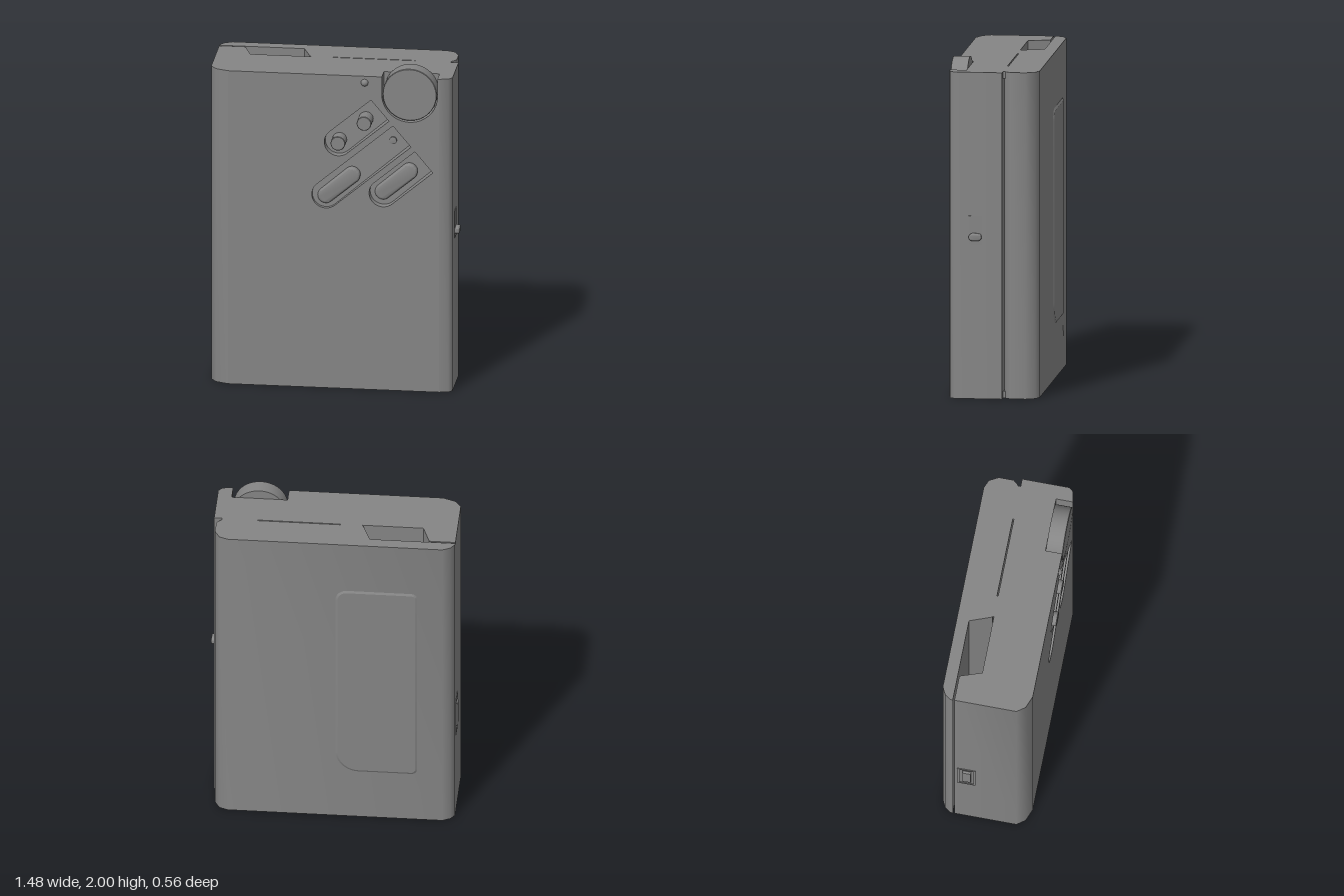
import * as THREE from 'three';
import { toCreasedNormals } from 'three/addons/utils/BufferGeometryUtils.js';

const H = 1.945, FRONT = 0.257, STEP = 0.157, TILT = 0.698;
const material = new THREE.MeshStandardMaterial({ color: 0x858585 });

export function createModel() {
  const group = new THREE.Group();

  const add = (name, geometry, x = 0, y = 0, z = 0) => {
    const mesh = new THREE.Mesh(geometry, material);
    mesh.name = name;
    mesh.position.set(x, y, z);
    group.add(mesh);
    return mesh;
  };
  const box = (name, w, h, d, x, y, z) => add(name, new THREE.BoxGeometry(w, h, d), x, y, z);
  const extrude = (shape, depth, options = {}, crease = 0.75) => toCreasedNormals(
    new THREE.ExtrudeGeometry(shape, { depth, bevelEnabled: false, curveSegments: 24, ...options }), crease);

  // Upright prism from an (x, z) outline
  const prism = (name, outline) => {
    const shape = new THREE.Shape(outline.map(([x, z]) => new THREE.Vector2(x, -z)));
    return add(name, extrude(shape, H).rotateX(-Math.PI / 2));
  };
  // Outline of a control pocket in tilted (u, v) coordinates: round at one end, square at the other
  const rotate = (u, v) => new THREE.Vector2(u, v).rotateAround(new THREE.Vector2(), TILT);
  const pocketPoints = (u, v, r = 0.083, end = 1.33) => {
    const points = [rotate(end, v - r), rotate(end, v + r)];
    for (let i = 0; i <= 20; i++) {
      const a = Math.PI / 2 + Math.PI * i / 20;
      points.push(rotate(u + r * Math.cos(a), v + r * Math.sin(a)));
    }
    return points;
  };
  // Pill lying along u
  const pill = (half, r) => {
    const s = new THREE.Shape();
    s.absarc(half, 0, r, -Math.PI / 2, Math.PI / 2);
    s.absarc(-half, 0, r, Math.PI / 2, Math.PI * 1.5);
    s.closePath();
    return s;
  };
  // Turned part facing +z, profile in (radius, height)
  const turned = (profile) => toCreasedNormals(new THREE.LatheGeometry(
    profile.map(([r, h]) => new THREE.Vector2(r, h)), 48).rotateX(Math.PI / 2), 0.6);

  // Main case, with a step in front that takes the face plate
  prism('case', [
    [-0.73, -0.192], [-0.73, 0.18], [-0.695, 0.228], [-0.62, FRONT], [-0.62, STEP],
    [0.63, STEP], [0.63, FRONT], [0.685, 0.247], [0.707, 0.22],
    [0.707, -0.063], [-0.53, -0.063], [-0.575, -0.192],
  ]);

  // Back door; the slanted steps leave an open channel through the body
  prism('backDoor', [
    [-0.73, -0.202], [-0.225, -0.202], [-0.175, -0.07], [0.64, -0.07], [0.665, -0.08], [0.69, -0.11],
    [0.69, -0.2], [0.66, -0.255], [0.61, -0.275], [-0.66, -0.275], [-0.705, -0.252], [-0.73, -0.215],
  ]);
  for (const y of [0.02, H - 0.02]) {
    box('hinge', 0.21, 0.04, 0.03, 0.555, y, -0.07);
    box('doorRest', 0.13, 0.04, 0.02, -0.105, y, -0.07);
  }

  // Face plate with a U-shaped notch for the wheel and three pockets
  const wheel = { x: 0.457, y: 1.84, r: 0.165 };
  const plate = new THREE.Shape();
  plate.moveTo(-0.62, 0).lineTo(0.63, 0).lineTo(0.63, H).lineTo(wheel.x + wheel.r, H);
  plate.absarc(wheel.x, wheel.y - 0.005, wheel.r, 0, Math.PI, true);
  plate.lineTo(wheel.x - wheel.r, H).lineTo(-0.62, H);
  const pockets = [[1.007, 1.148], [0.74, 0.945], [1.014, 0.743]];
  for (const [u, v] of pockets) plate.holes.push(new THREE.Path(pocketPoints(u, v)));
  add('facePlate', extrude(plate, FRONT - STEP), 0, 0, STEP);

  // Pocket floors, sinking towards the square end
  const floorZ = (u) => 0.225 - 0.09 * (u - 0.74);
  for (const [u, v] of pockets) {
    const floor = new THREE.ExtrudeGeometry(new THREE.Shape(pocketPoints(u, v)), { depth: 1, bevelEnabled: false });
    const p = floor.attributes.position;
    for (let i = 0; i < p.count; i++) {
      const along = p.getX(i) * Math.cos(TILT) + p.getY(i) * Math.sin(TILT);
      p.setZ(i, p.getZ(i) > 0.5 ? floorZ(along) : STEP - 0.01);
    }
    add('pocketFloor', toCreasedNormals(floor, 0.75));
  }

  // Winding wheel
  add('wheel', turned([[0, 0], [0.16, 0], [0.16, 0.097], [0.157, 0.1], [0, 0.1]]), wheel.x, wheel.y, STEP);

  // Two push buttons, a small pin and an indicator lamp
  for (const u of [1.007, 1.209]) {
    const p = rotate(u, 1.148);
    add('button', turned([[0, 0], [0.043, 0], [0.043, 0.1], [0.04, 0.103], [0, 0.103]]), p.x, p.y, 0.177);
  }
  const pin = rotate(1.25, 0.947);
  add('pin', turned([[0, 0], [0.022, 0], [0.022, 0.022], [0, 0.026]]), pin.x, pin.y, floorZ(1.25) - 0.012);
  add('lamp', new THREE.SphereGeometry(0.022, 24, 16), 0.19, 1.905, FRONT - 0.002);

  // Pill-shaped slider knobs in the two lower pockets
  for (const [u, v] of [[0.83, 0.938], [1.106, 0.743]]) {
    const p = rotate(u, v);
    const knob = extrude(pill(0.1, 0.035), 0.02,
      { bevelEnabled: true, bevelThickness: 0.016, bevelSize: 0.014, bevelSegments: 4 });
    add('sliderKnob', knob, p.x, p.y, floorZ(u) - 0.012).rotation.z = TILT;
  }

  // Window on the back door: thin panel with a sloped rim and one large lower corner
  const [left, right, bottom, top, slope] = [-0.515, -0.025, 0.32, 1.62, 0.016];
  const pane = new THREE.Shape();
  const corners = [
    [left, bottom, 0.04, 1, 1], [right, bottom, 0.14, -1, 1],
    [right, top, 0.07, -1, -1], [left, top, 0.04, 1, -1],
  ];
  corners.forEach(([x, y, r, sx, sy], i) => {
    const start = Math.PI * (1 + i / 2);
    pane.absarc(x + sx * r, y + sy * r, r - slope, start, start + Math.PI / 2);
  });
  pane.closePath();
  add('window', extrude(pane, 0.003,
    { bevelEnabled: true, bevelThickness: 0.009, bevelSize: slope, bevelSegments: 1 }, 0.3), 0, 0, -0.273);

  // Sliding switch on the left side
  box('switchPlate', 0.01, 0.17, 0.08, 0.706, 1.005, 0.095);
  const knob = extrude(pill(0.016, 0.014), 0.02,
    { bevelEnabled: true, bevelThickness: 0.01, bevelSize: 0.008, bevelSegments: 3 });
  add('switchKnob', knob.rotateY(Math.PI / 2), 0.706, 0.965, 0.095);

  // Door latch on the right side
  const frame = new THREE.Shape();
  frame.moveTo(-0.055, -0.12).lineTo(0.055, -0.12).lineTo(0.055, 0.12).lineTo(-0.055, 0.12);
  const opening = new THREE.Path();
  opening.moveTo(-0.042, -0.106).lineTo(-0.042, 0.106).lineTo(0.042, 0.106).lineTo(0.042, -0.106);
  frame.holes.push(opening);
  add('latchFrame', extrude(frame, 0.006).rotateY(-Math.PI / 2), -0.728, 0.67, -0.12);
  const tab = new THREE.Shape();
  tab.moveTo(0, -0.085).lineTo(0.011, -0.07).lineTo(0.011, 0.07).lineTo(0, 0.085);
  tab.closePath();
  add('latchTab', extrude(tab, 0.05, {}, 0.4).rotateY(Math.PI), -0.729, 0.675, -0.093);

  return group;
}
